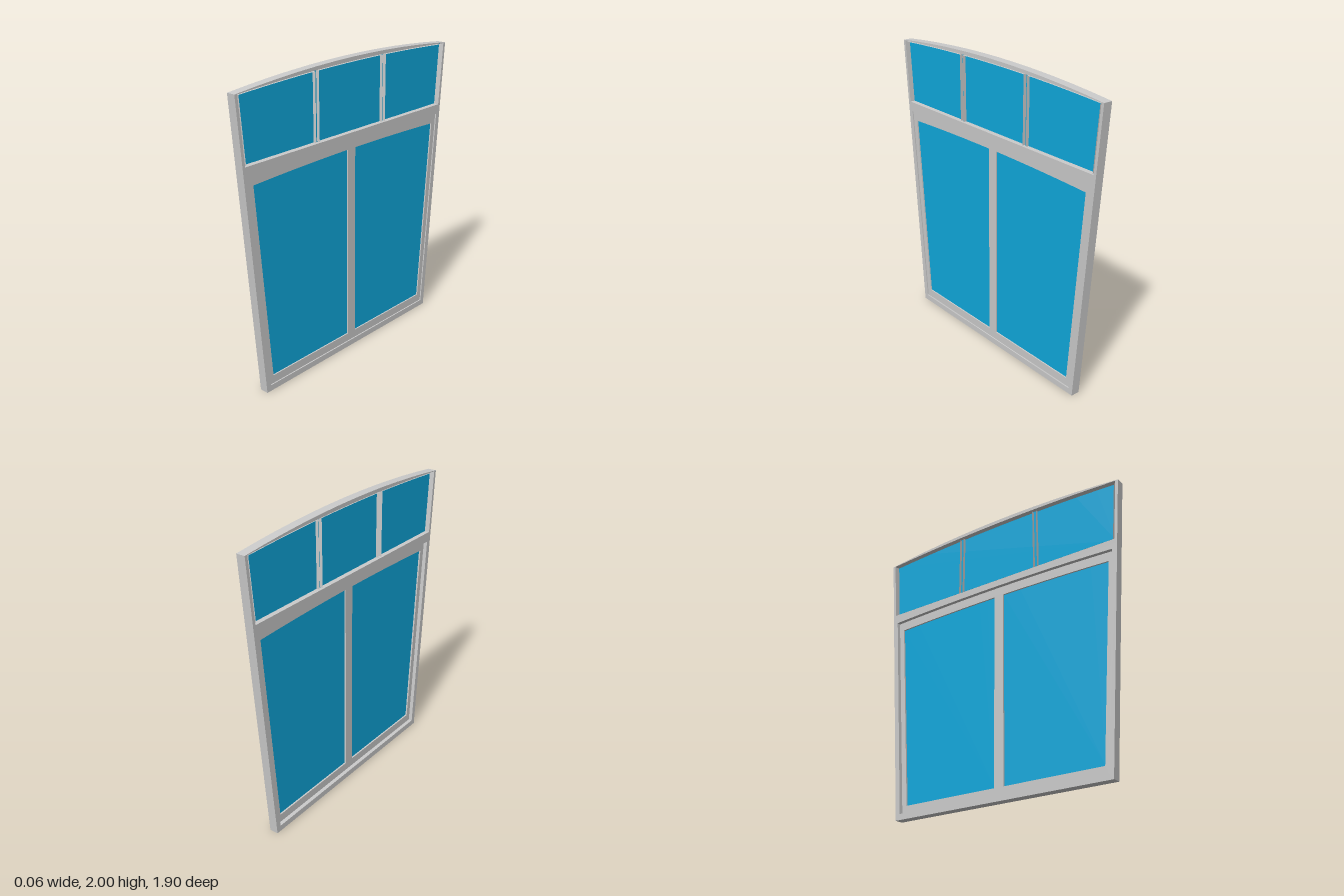
import * as THREE from 'three';

const grey = new THREE.MeshStandardMaterial({ color: 0xcccccc });
const greyThin = new THREE.MeshStandardMaterial({ color: 0xcccccc, side: THREE.DoubleSide });
const blue = new THREE.MeshStandardMaterial({ color: 0x0fa8dc });

// Half width of the tapering window at height y
const halfWidth = (y) => 0.8 + (0.15 * y) / 1.95;
// Slanted side line at a given inset, and a fixed upright line
const side = (sign, inset) => (y) => sign * (halfWidth(y) - inset);
const upright = (x) => () => x;
// Shallow arch: highest in the middle, falling by sag at the sides
const arch = (top, sag) => (x) => top - sag * (x / 0.93) ** 2;

// Closed outline between two side lines, a flat bottom and an arched top
function outline(left, right, bottom, top) {
  const pts = [[left(bottom), bottom], [right(bottom), bottom]];
  const ya = top(right(top(0.9)));
  const yb = top(left(top(0.9)));
  const xa = right(ya), xb = left(yb), n = 12;
  for (let i = 0; i <= n; i++) {
    const x = xa + ((xb - xa) * i) / n;
    pts.push([x, top(x)]);
  }
  return pts.map(([x, y]) => new THREE.Vector2(x, y));
}

// Slab cut from an outline with holes, lying in the y-z plane from x0 to x1
function slab(name, outer, holes, x0, x1, material) {
  const shape = new THREE.Shape(outer);
  holes.forEach((h) => shape.holes.push(new THREE.Path(h)));
  const geo = new THREE.ExtrudeGeometry(shape, { depth: x1 - x0, bevelEnabled: false });
  geo.translate(0, 0, x0).rotateY(Math.PI / 2);
  const mesh = new THREE.Mesh(geo, material);
  mesh.name = name;
  return mesh;
}

// Thin wall following an outline, open towards both faces of the window
function reveal(name, pts, x0, x1) {
  const pos = [], index = [];
  pts.forEach((p, i) => {
    const q = pts[(i + 1) % pts.length];
    const b = i * 4;
    pos.push(x0, p.y, -p.x, x1, p.y, -p.x, x0, q.y, -q.x, x1, q.y, -q.x);
    index.push(b, b + 1, b + 2, b + 1, b + 3, b + 2);
  });
  const geo = new THREE.BufferGeometry();
  geo.setAttribute('position', new THREE.Float32BufferAttribute(pos, 3));
  geo.setIndex(index);
  geo.computeVertexNormals();
  const mesh = new THREE.Mesh(geo, greyThin);
  mesh.name = name;
  return mesh;
}

export function createModel() {
  const model = new THREE.Group();
  model.name = 'window';
  const full = (inset, bottom, top) => outline(side(-1, inset), side(1, inset), bottom, top);

  // Lower frame with its sash, middle post and two panes
  const lowerOpening = full(0.035, 0.04, arch(1.477, 0.022));
  model.add(slab('lowerFrame', full(0, 0, arch(1.49, 0)), [lowerOpening], -0.03, 0.03, grey));

  const sashTop = arch(1.415, 0.022);
  const panes = [
    outline(side(-1, 0.072), upright(-0.035), 0.095, sashTop),
    outline(upright(0.035), side(1, 0.072), 0.095, sashTop),
  ];
  model.add(slab('sash', lowerOpening, panes, -0.004, 0.022, grey));
  panes.forEach((p) => model.add(slab('lowerGlass', p, [], 0.007, 0.013, blue)));

  // Arched upper frame with one sheet of glass
  const upperOpening = full(0.02, 1.523, arch(1.975, 0.03));
  model.add(slab('upperFrame', full(0, 1.49, arch(2, 0.05)), [upperOpening], -0.03, 0.03, grey));
  model.add(slab('upperGlass', upperOpening, [], -0.003, 0.003, blue));

  // Thin glazing walls dividing the upper glass into three lights
  const lightTop = arch(1.968, 0.03);
  [
    [side(-1, 0.032), upright(-0.322)],
    [upright(-0.292), upright(0.292)],
    [upright(0.322), side(1, 0.032)],
  ].forEach(([a, b]) => model.add(reveal('glazingBar', outline(a, b, 1.527, lightTop), -0.025, 0.025)));

  return model;
}
